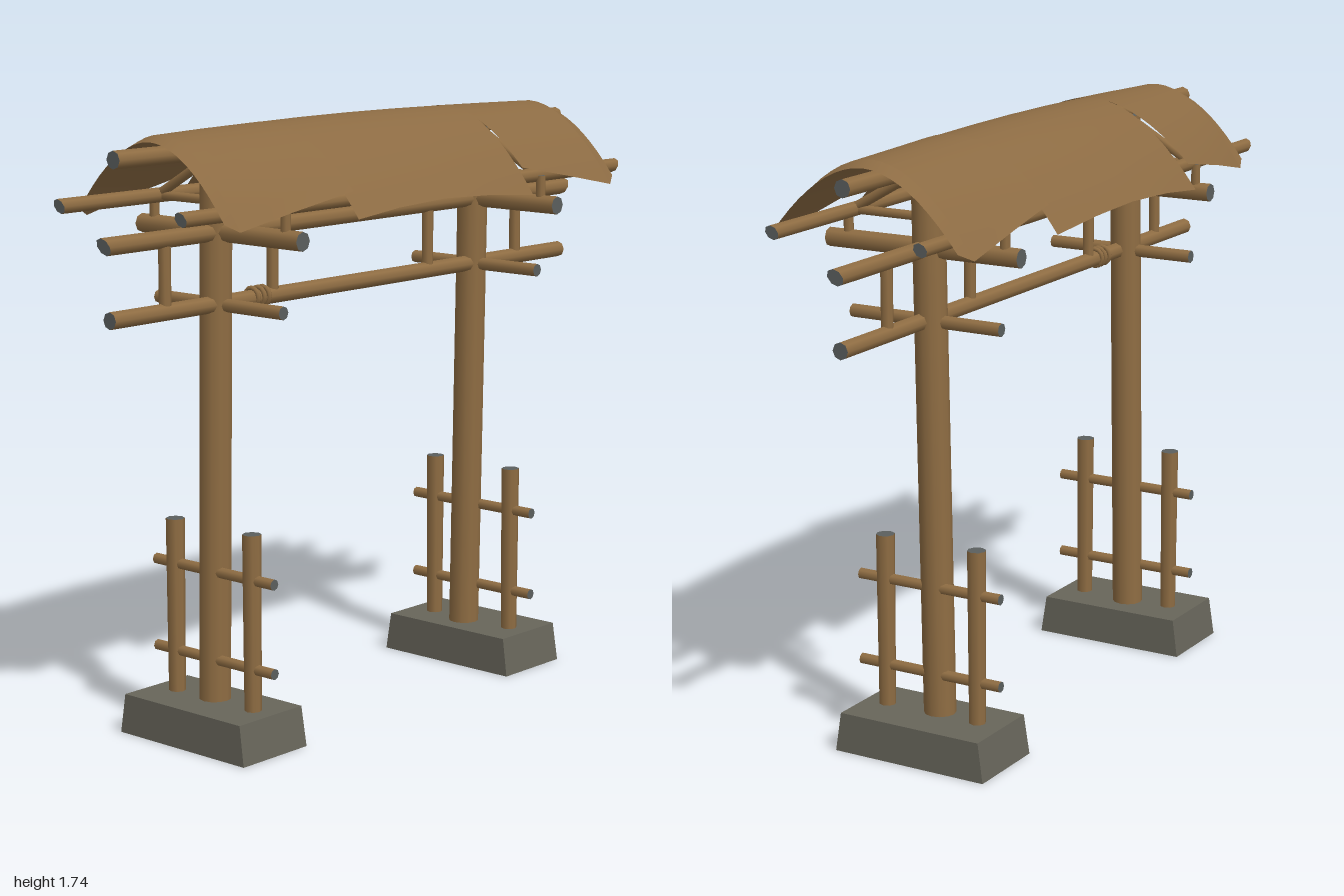
import * as THREE from 'three';

const wood = new THREE.MeshStandardMaterial({ color: 0x8f6d43 });
wood.name = 'wood';
const thatch = new THREE.MeshStandardMaterial({ color: 0x8c6b43, side: THREE.DoubleSide });
thatch.name = 'thatch';
const cutEnd = new THREE.MeshStandardMaterial({ color: 0x5b5f5e });
cutEnd.name = 'cut end';
const stone = new THREE.MeshStandardMaterial({ color: 0x67655a, side: THREE.DoubleSide, flatShading: true });
stone.name = 'stone';

const V = (x, y, z) => new THREE.Vector3(x, y, z);

// Round pole from a to b, with grey cut ends
function pole(name, a, b, r0, r1 = r0, sides = 8) {
  const geo = new THREE.CylinderGeometry(r1, r0, a.distanceTo(b), sides);
  const mesh = new THREE.Mesh(geo, [wood, cutEnd, cutEnd]);
  mesh.name = name;
  mesh.position.addVectors(a, b).multiplyScalar(0.5);
  mesh.quaternion.setFromUnitVectors(V(0, 1, 0), b.clone().sub(a).normalize());
  return mesh;
}

// Long pole along z whose ends are cut at a slant, longer at the top
function longPole(name, x, y, half, r, slant = 0) {
  const geo = new THREE.CylinderGeometry(r, r, 2 * half, 8);
  geo.rotateX(Math.PI / 2);
  const p = geo.attributes.position;
  for (let i = 0; i < p.count; i++) {
    p.setZ(i, p.getZ(i) + Math.sign(p.getZ(i)) * slant * (p.getY(i) / r - 1));
  }
  const mesh = new THREE.Mesh(geo, [wood, cutEnd, cutEnd]);
  mesh.name = name;
  mesh.position.set(x, y, 0);
  return mesh;
}

// Curved sheet lofted through sections [z, ridge height, eave x, eave height]
function roofSheet(name, sections) {
  const n = 20, pos = [], idx = [];
  for (const [z, top, ex, ey] of sections) {
    for (let i = 0; i <= n; i++) {
      const u = (2 * i) / n - 1;
      pos.push(ex * u, top - (top - ey) * Math.abs(u) ** 1.9, z);
    }
  }
  for (let s = 0; s < sections.length - 1; s++) {
    for (let i = 0; i < n; i++) {
      const a = s * (n + 1) + i, b = a + n + 1;
      idx.push(a, a + 1, b, b, a + 1, b + 1);
    }
  }
  const geo = new THREE.BufferGeometry();
  geo.setAttribute('position', new THREE.Float32BufferAttribute(pos, 3));
  geo.setIndex(idx);
  geo.computeVertexNormals();
  const mesh = new THREE.Mesh(geo, thatch);
  mesh.name = name;
  return mesh;
}

// Hollow tapered footing, open underneath
function footing(z) {
  let geo = new THREE.BoxGeometry(0.485, 0.115, 0.255);
  const p = geo.attributes.position;
  for (let i = 0; i < p.count; i++) {
    if (p.getY(i) > 0) p.setXYZ(i, p.getX(i) * 0.93, p.getY(i), p.getZ(i) * 0.98);
  }
  const index = Array.from(geo.index.array);
  index.splice(18, 6);
  geo.setIndex(index);
  geo.clearGroups();
  geo.computeVertexNormals();
  const mesh = new THREE.Mesh(geo, stone);
  mesh.name = 'footing';
  mesh.position.set(-0.023, 0.0575, z);
  return mesh;
}

// One end: footing, main post, fence, cross beams and roof truss
function frame(name, z, baseZ, fenceZ) {
  const g = new THREE.Group();
  g.name = name;
  g.add(footing(baseZ));
  g.add(pole('mainPost', V(-0.033, 0.08, z), V(-0.008, 1.66, z), 0.046, 0.046, 12));
  for (const x of [-0.168, 0.131]) {
    g.add(pole('fencePost', V(x, 0.09, fenceZ), V(x, 0.62, fenceZ), 0.024, 0.027, 8));
  }
  for (const y of [0.235, 0.49]) {
    g.add(pole('fenceRail', V(-0.245, y, fenceZ), V(0.215, y, fenceZ), 0.016));
  }
  g.add(pole('lowerCrossBeam', V(-0.238, 1.245, z), V(0.24, 1.245, z), 0.019));
  g.add(pole('upperCrossBeam', V(-0.3, 1.447, z), V(0.312, 1.445, z), 0.027));
  g.add(pole('trussTie', V(-0.24, 1.53, z), V(0.24, 1.53, z), 0.013));
  for (const s of [-1, 1]) {
    g.add(pole('rafter', V(0, 1.665, z), V(s * 0.235, 1.53, z), 0.014));
    g.add(pole('eaveStrut', V(s * 0.25, 1.45, z), V(s * 0.25, 1.53, z), 0.014));
  }
  return g;
}

export function createModel() {
  const model = new THREE.Group();
  model.name = 'thatchedGate';

  model.add(frame('frontFrame', 0.562, 0.582, 0.578));
  model.add(frame('backFrame', -0.55, -0.577, -0.57));

  // Long poles running front to back
  model.add(longPole('lowerLongBeam', -0.004, 1.247, 0.972, 0.024));
  model.add(longPole('upperLongBeam', -0.004, 1.445, 1.0, 0.025, 0.011));
  model.add(longPole('ridgePole', -0.004, 1.67, 0.95, 0.025));
  for (const s of [-1, 1]) model.add(longPole('eavePole', s * 0.23, 1.53, 0.945, 0.021, 0.008));

  // Struts between the two long beams
  for (const z of [0.767, 0.345, -0.33, -0.75]) {
    model.add(pole('beamStrut', V(-0.004, 1.25, z), V(-0.004, 1.44, z), 0.017));
  }

  // Rope bindings on the lower long beam
  for (const z of [0.385, 0.405, 0.43]) {
    const ring = new THREE.Mesh(new THREE.TorusGeometry(0.026, 0.007, 6, 12), wood);
    ring.name = 'ropeBinding';
    ring.position.set(-0.004, 1.25, z);
    model.add(ring);
  }

  // Thatch: overlapping middle sheet, two end sheets and turned-in rims
  model.add(roofSheet('middleThatch', [
    [0.375, 1.734, 0.345, 1.49], [0.2, 1.737, 0.341, 1.507], [0, 1.738, 0.338, 1.515],
    [-0.2, 1.737, 0.334, 1.507], [-0.41, 1.734, 0.33, 1.49]]));
  model.add(roofSheet('frontThatch', [
    [0.78, 1.725, 0.292, 1.488], [0.6, 1.73, 0.308, 1.525], [0.37, 1.734, 0.322, 1.565]]));
  model.add(roofSheet('backThatch', [
    [-0.4, 1.734, 0.296, 1.568], [-0.6, 1.73, 0.304, 1.53], [-0.81, 1.725, 0.314, 1.488]]));
  model.add(roofSheet('frontRim', [[0.822, 1.708, 0.275, 1.51], [0.78, 1.725, 0.292, 1.488]]));
  model.add(roofSheet('backRim', [[-0.81, 1.725, 0.314, 1.488], [-0.853, 1.708, 0.29, 1.51]]));

  return model;
}
